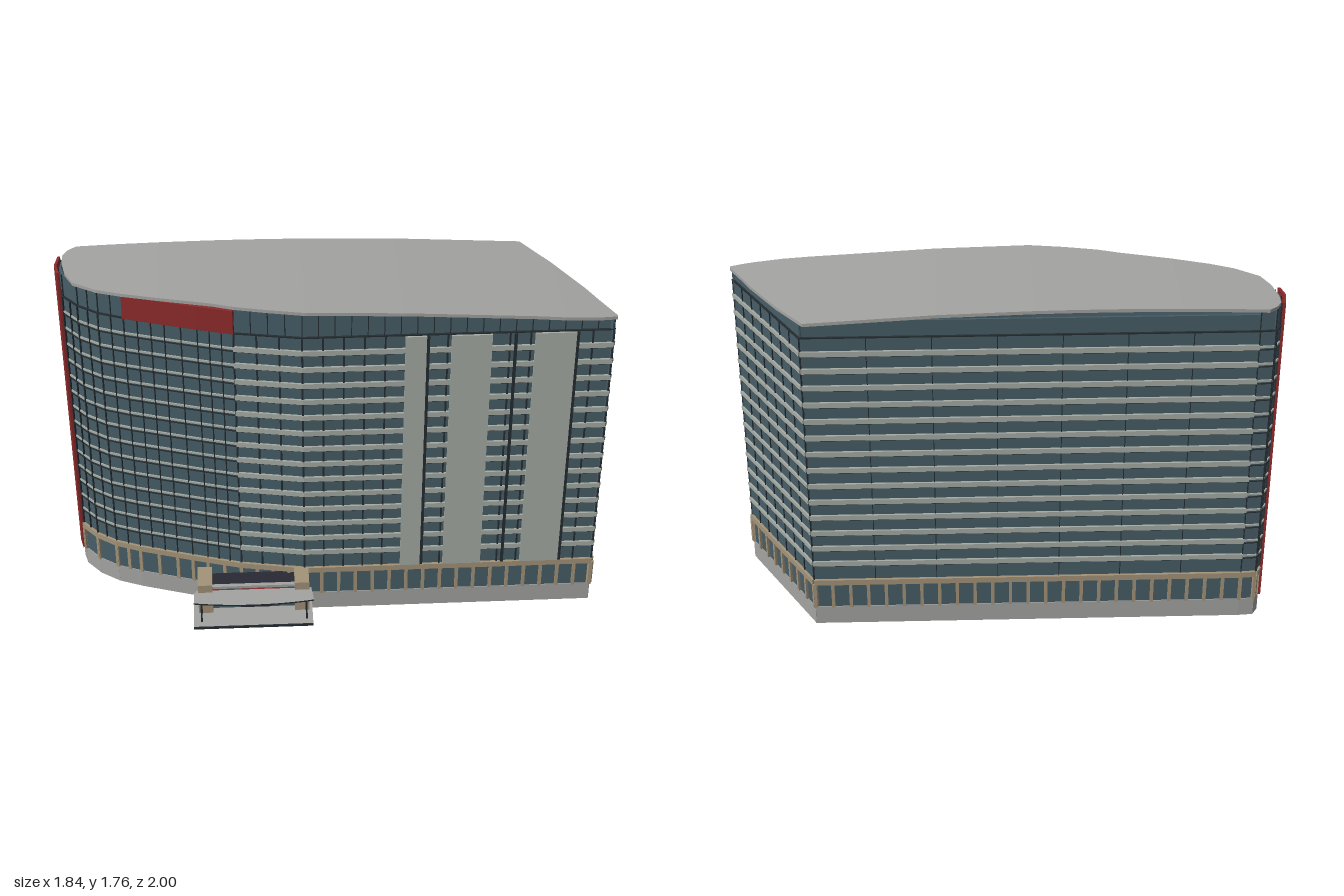
import * as THREE from 'three';
import { mergeGeometries } from 'three/addons/utils/BufferGeometryUtils.js';

const mat = (name, color, side = THREE.FrontSide) => {
  const m = new THREE.MeshStandardMaterial({ color, side });
  m.name = name;
  return m;
};

// Long axis (u) and outward front axis (v) of the tower in plan
const C = 0.79, S = 0.613;
const toXZ = (u, v) => [C * u - S * v, S * u + C * v];
const roofY = (x, z) => 1.757 - 0.027 * (C * x + S * z + 0.45) ** 2;

// Footprint, running from the front right corner around the tower
const frontAt = x => [x, 0.125 + (x + 0.29) * 0.7723];
const FRONT = [frontAt(0.826), frontAt(-0.29), [-0.5, -0.105]];
const CURVE = [[-0.5, -0.105], [-0.6, -0.242], [-0.69, -0.37], [-0.8, -0.53], [-0.865, -0.64], [-0.9, -0.75]];
const NOSE = [[-0.9, -0.75], [-0.905, -0.86], [-0.88, -0.92], [-0.835, -0.968], [-0.79, -0.985], [-0.73, -0.945]];
const BACK = [[-0.73, -0.945], [0.905, 0.33]];
const END = [[0.905, 0.33], frontAt(0.826)];
const SIDES = [FRONT, CURVE, NOSE, BACK, END];
const OUTLINE = [...FRONT, ...CURVE.slice(1), ...NOSE.slice(1), ...BACK.slice(1), ...END.slice(1)];

// Box with its length on the line a-b, moved outward by out
function slab(a, b, y0, y1, out, depth, extra = 0) {
  const dx = b[0] - a[0], dz = b[1] - a[1], len = Math.hypot(dx, dz);
  const g = new THREE.BoxGeometry(len + extra, y1 - y0, depth);
  g.rotateY(-Math.atan2(dz, dx));
  g.translate((a[0] + b[0]) / 2 + dz / len * out, (y0 + y1) / 2, (a[1] + b[1]) / 2 - dx / len * out);
  return g;
}

function strip(path, y0, y1, out, depth = 0.01) {
  return path.slice(1).map((p, i) => slab(path[i], p, y0, y1, out, depth, 0.004));
}

// Upright bars at even steps along a path
function bars(path, step, width, y0, y1, out, depth) {
  const list = [];
  path.slice(1).forEach((b, i) => {
    const a = path[i], len = Math.hypot(b[0] - a[0], b[1] - a[1]);
    const n = Math.max(1, Math.round(len / step));
    for (let k = 0; k <= n; k++) {
      const at = d => [0, 1].map(j => a[j] + (b[j] - a[j]) * (k / n + d / len));
      list.push(slab(at(-width / 2), at(width / 2), y0, y1, out, depth));
    }
  });
  return list;
}

// Cut long segments so that their tops can follow the roof
function subdivide(path, step) {
  const out = [path[0]];
  path.slice(1).forEach((b, i) => {
    const a = path[i], n = Math.ceil(Math.hypot(b[0] - a[0], b[1] - a[1]) / step);
    for (let k = 1; k <= n; k++) out.push([0, 1].map(j => a[j] + (b[j] - a[j]) * k / n));
  });
  return out;
}

function fitToRoof(list) {
  for (const g of list) {
    const p = g.attributes.position;
    for (let i = 0; i < p.count; i++)
      if (p.getY(i) > 1.65) p.setY(i, roofY(p.getX(i), p.getZ(i)) - 0.016);
    g.computeVertexNormals();
  }
  return list;
}

// Thin arched roof made from cross-sections [u, back v, front v]
function roofGeometry() {
  const rows = [
    [-1.245, -0.27, -0.21], [-1.225, -0.31, -0.11], [-1.185, -0.343, -0.025], [-1.076, -0.343, 0.047],
    [-0.965, -0.343, 0.09], [-0.797, -0.343, 0.14], [-0.551, -0.343, 0.204], [-0.456, -0.343, 0.236],
    [-0.3, -0.343, 0.27], [-0.137, -0.343, 0.298], [0.3, -0.343, 0.302], [0.898, -0.343, 0.304],
    [1.025, -0.163, 0.305], [1.155, 0.053, 0.296], [1.203, 0.146, 0.29], [1.268, 0.265, 0.277]
  ].map(([u, b, f]) => {
    const [p, q] = [toXZ(u, b), toXZ(u, f)];
    const at = ([x, z], d) => [x, roofY(x, z) - d, z];
    return [at(p, 0), at(q, 0), at(q, 0.016), at(p, 0.016)];
  });
  const v = [];
  const quad = (a, b, c, d) => v.push(...a, ...b, ...c, ...a, ...c, ...d);
  for (let i = 0; i < rows.length - 1; i++)
    for (let k = 0; k < 4; k++) {
      const n = (k + 1) % 4;
      quad(rows[i][k], rows[i][n], rows[i + 1][n], rows[i + 1][k]);
    }
  quad(...[...rows[0]].reverse());
  quad(...rows[rows.length - 1]);
  const g = new THREE.BufferGeometry();
  g.setAttribute('position', new THREE.Float32BufferAttribute(v, 3));
  g.computeVertexNormals();
  return g;
}

export function createModel() {
  const model = new THREE.Group();
  model.name = 'curvedTower';
  const concrete = mat('concrete', 0xa3a3a1, THREE.DoubleSide);
  const panel = mat('paleCladding', 0xa6aba4);
  const glass = mat('blueGlass', 0x475d66);
  const frame = mat('darkFrame', 0x242c31);
  const tan = mat('tanStone', 0xa39379);
  const red = mat('redPanel', 0x8c2a2a);
  const dark = mat('darkDoor', 0x282933);
  const add = (name, list, m, parent = model) => {
    const mesh = new THREE.Mesh(Array.isArray(list) ? mergeGeometries(list) : list, m);
    mesh.name = name;
    parent.add(mesh);
  };

  // Plinth, ground floor and main glass skin
  add('plinth', strip(OUTLINE, 0, 0.1, 0), concrete);
  add('glassWalls', strip(OUTLINE, 0.1, 1.61, -0.004), glass);
  add('groundFloorBand', strip(OUTLINE, 0.235, 0.265, 0, 0.028), tan);
  add('groundFloorPiers', SIDES.flatMap(p => bars(p, 0.085, 0.016, 0.1, 0.24, 0, 0.026)), tan);

  // Top storey follows the arched roof, leaving a slot above the back wall
  const underRoof = [...END, ...FRONT.slice(1), ...CURVE.slice(1), ...NOSE.slice(1)];
  add('topStorey', fitToRoof(strip(subdivide(underRoof, 0.15), 1.61, 1.7, -0.008)), glass);
  add('topBackWall', strip(BACK, 1.61, 1.69, -0.008), glass);
  add('topMullions', fitToRoof([FRONT, CURVE, NOSE].flatMap(p =>
    bars(p, 0.075, 0.004, 1.61, 1.7, -0.002, 0.008))), frame);
  add('topSill', strip(OUTLINE, 1.606, 1.612, 0, 0.014), frame);
  add('roof', roofGeometry(), concrete);

  // Floor bands: deep on the straight faces, slim on the curve and nose
  const wide = [], lines = [];
  for (let i = 0; i < 14; i++) {
    const y = 1.527 - i * 0.0897;
    for (const p of [FRONT, BACK]) wide.push(...strip(p, y - 0.013, y + 0.013, 0.006));
    wide.push(...strip(END, y - 0.01, y + 0.01, 0.006));
    for (const p of [CURVE, NOSE]) wide.push(...strip(p, y - 0.005, y + 0.005, 0.002));
    for (const p of SIDES) lines.push(...strip(p, y - 0.017, y - 0.013, 0.003, 0.008));
  }
  add('floorBands', wide, panel);
  add('floorShadowGaps', lines, frame);

  // Window mullions: [spacing, width, offset] for each side
  const sizes = [[0.095, 0.008, 0.002], [0.065, 0.004, 0.004], [0.065, 0.004, 0.004], [0.29, 0.004, 0.001], [0.1, 0.004, 0.001]];
  add('mullions', SIDES.flatMap((p, i) => {
    const [step, width, out] = sizes[i];
    return bars(p, step, width, 0.265, 1.605, out, 0.01);
  }), frame);

  // Solid panels on the front, with narrow dark reveals
  const panels = [[0.08, 0.153], [0.245, 0.388], [0.545, 0.69]];
  add('frontPanels', panels.flatMap(([a, b]) =>
    strip([frontAt(b), frontAt(a)], 0.265, 1.605, 0.009, 0.012)), panel);
  add('panelReveals', [0.156, 0.47, 0.693].flatMap(x =>
    strip([frontAt(x + 0.008), frontAt(x)], 0.265, 1.605, 0.008)), frame);

  // Red panels on the nose and the top of the curve
  const noseStrip = [[-0.907, -0.865], [-0.88, -0.925], [-0.825, -0.977]];
  add('noseStrip', strip(noseStrip, 0.1, 1.735, 0.011, 0.012), red);
  add('curveTopPanel', strip(CURVE.slice(0, 4), 1.612, 1.735, 0, 0.03), red);

  // Entrance, built along its own axes
  const entrance = new THREE.Group();
  entrance.name = 'entrance';
  entrance.position.set(-0.52, 0, 0.01);
  entrance.rotation.y = -Math.atan2(S, C);
  model.add(entrance);
  const box = (w, h, d, x, y, z) => new THREE.BoxGeometry(w, h, d).translate(x, y, z);
  add('entrancePiers', [-1, 1].map(s => box(0.07, 0.175, 0.14, s * 0.235, 0.178, 0)), tan, entrance);
  add('platform', box(0.58, 0.01, 0.25, -0.005, 0.085, 0.045), concrete, entrance);
  add('platformEdge', box(0.58, 0.012, 0.006, -0.005, 0.085, 0.172), frame, entrance);
  add('lobbyRoof', box(0.4, 0.01, 0.09, 0, 0.222, -0.02), dark, entrance);
  add('lobbyGlass', box(0.4, 0.14, 0.01, 0, 0.16, 0.03), glass, entrance);
  add('doors', box(0.15, 0.095, 0.008, 0.01, 0.14, 0.035), dark, entrance);
  add('redLintel', box(0.4, 0.012, 0.012, 0, 0.203, 0.037), red, entrance);
  add('header', box(0.4, 0.014, 0.02, 0, 0.236, 0.045), concrete, entrance);
  add('posts', [-1, 1].flatMap(s => [0.07, 0.13].map(z => box(0.008, 0.125, 0.008, s * 0.255, 0.15, z))), frame, entrance);

  // Canopy plate with a bowed outer edge and a dark rim
  const plate = new THREE.Shape();
  plate.moveTo(-0.28, -0.055);
  plate.lineTo(0.28, -0.055);
  plate.lineTo(0.29, -0.145);
  plate.quadraticCurveTo(0, -0.19, -0.29, -0.145);
  plate.closePath();
  const canopy = new THREE.ExtrudeGeometry(plate, { depth: 0.008, bevelEnabled: false, curveSegments: 12 });
  canopy.rotateX(-Math.PI / 2).translate(0, 0.213, 0);
  add('canopy', canopy, [concrete, frame], entrance);
  return model;
}
